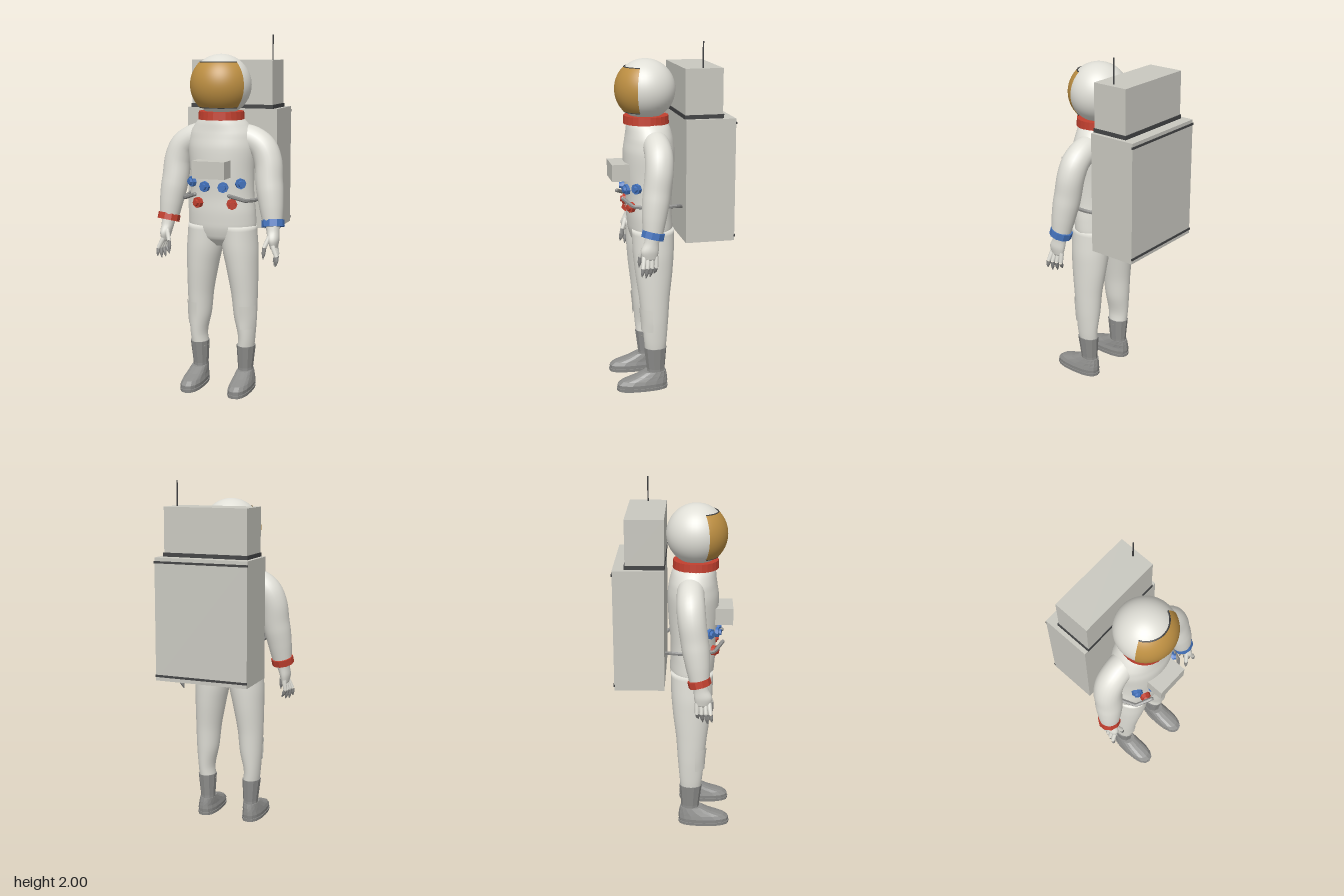
import * as THREE from 'three';
import { mergeVertices } from 'three/addons/utils/BufferGeometryUtils.js';

const material = (name, color, extra = {}) => {
  const m = new THREE.MeshStandardMaterial({ color, ...extra });
  m.name = name;
  return m;
};

// Horizontal elliptical sections [x, y, z, rx, rz], listed bottom to top.
// steps > 1 smooths between sections; an arc below a full turn is left open.
function loft(sections, { sides = 28, steps = 5, power = 1, start = 0, arc = Math.PI * 2 } = {}) {
  const centres = new THREE.CatmullRomCurve3(sections.map(s => new THREE.Vector3(s[0], s[1], s[2])));
  const radii = new THREE.CatmullRomCurve3(sections.map(s => new THREE.Vector3(s[3], 0, s[4])));
  const rows = (sections.length - 1) * steps, closed = arc > 6.28;
  const pos = [], idx = [], w = sides + 1;
  const bend = v => Math.sign(v) * Math.abs(v) ** power;
  for (let i = 0; i <= rows; i++) {
    const c = centres.getPoint(i / rows), r = radii.getPoint(i / rows);
    for (let j = 0; j <= sides; j++) {
      const a = start + arc * (closed ? j % sides : j) / sides;
      pos.push(c.x + r.x * bend(Math.sin(a)), c.y, c.z + r.z * bend(Math.cos(a)));
    }
  }
  for (let i = 0; i < rows; i++) for (let j = 0; j < sides; j++) {
    const a = i * w + j, b = a + 1, c = a + w, d = c + 1;
    idx.push(a, b, d, a, d, c);
  }
  if (closed) {
    const first = sections[0], last = sections.at(-1), n = pos.length / 3;
    pos.push(first[0], first[1], first[2], last[0], last[1], last[2]);
    for (let j = 0; j < sides; j++) {
      idx.push(n, j + 1, j, n + 1, rows * w + j, rows * w + j + 1);
    }
  }
  let g = new THREE.BufferGeometry();
  g.setAttribute('position', new THREE.Float32BufferAttribute(pos, 3));
  g.setIndex(idx);
  g = mergeVertices(g, 1e-5);
  g.computeVertexNormals();
  return g;
}

// Tube through points, its radius eased between the given values
function taper(points, radii, segs = 24, sides = 20) {
  const curve = new THREE.CatmullRomCurve3(points.map(p => new THREE.Vector3(...p)));
  let g = new THREE.TubeGeometry(curve, segs, 1, sides);
  const p = g.attributes.position, v = new THREE.Vector3();
  const rad = new THREE.CatmullRomCurve3(radii.map(r => new THREE.Vector3(r, 0, 0)));
  for (let i = 0; i <= segs; i++) {
    const c = curve.getPointAt(i / segs), r = rad.getPoint(i / segs).x;
    for (let j = 0; j <= sides; j++) {
      const k = i * (sides + 1) + j;
      v.fromBufferAttribute(p, k).sub(c).multiplyScalar(r).add(c);
      p.setXYZ(k, v.x, v.y, v.z);
    }
  }
  g.deleteAttribute('uv');
  g.deleteAttribute('normal');
  g = mergeVertices(g, 1e-5);
  g.computeVertexNormals();
  return g;
}

export function createModel() {
  const suit = material('suit white', 0xe0dfd7);
  const patch = material('patch white', 0xdcdbd3, { side: THREE.DoubleSide });
  const pack = material('pack grey', 0xc9c8c0);
  const boot = material('boot grey', 0x8e8e8c, { flatShading: true });
  const dark = material('dark trim', 0x434445);
  const gold = material('visor gold', 0xbd8f42, { side: THREE.DoubleSide });
  const red = material('red', 0xc2402f, { flatShading: true });
  const blue = material('blue', 0x4473bd, { flatShading: true });

  const model = new THREE.Group();
  model.name = 'astronaut';
  const add = (name, geo, mat, x = 0, y = 0, z = 0, parent = model) => {
    const m = new THREE.Mesh(geo, mat);
    m.name = name;
    m.position.set(x, y, z);
    parent.add(m);
    return m;
  };
  const box = (name, mat, w, y0, y1, z0, z1) =>
    add(name, new THREE.BoxGeometry(w, y1 - y0, z1 - z0), mat, 0, (y0 + y1) / 2, (z0 + z1) / 2);

  // Torso and hips
  add('torso', loft([
    [0, 0.83, 0.1, 0.07, 0.06], [0, 0.88, 0.1, 0.165, 0.11], [0, 0.95, 0.102, 0.198, 0.127],
    [0, 1.03, 0.107, 0.195, 0.128], [0, 1.12, 0.107, 0.185, 0.129], [0, 1.25, 0.107, 0.185, 0.14],
    [0, 1.38, 0.106, 0.195, 0.144], [0, 1.46, 0.105, 0.185, 0.134], [0, 1.52, 0.11, 0.148, 0.122],
    [0, 1.56, 0.12, 0.11, 0.105]], { sides: 36 }), suit);

  // Helmet, visor and neck ring
  const hy = 1.728, hz = 0.123;
  add('helmet', new THREE.SphereGeometry(0.168, 40, 28), suit, 0, hy, hz);
  const half = 1.15, top = 0.76, bottom = 2.36;
  add('visor', new THREE.SphereGeometry(0.172, 32, 20, Math.PI / 2 - half, half * 2, top, bottom - top),
    gold, 0, hy, hz);
  for (const t of [top, bottom]) {
    const rim = add('visorRim', new THREE.TorusGeometry(0.17 * Math.sin(t), 0.004, 6, 32, half * 2),
      dark, 0, hy + 0.17 * Math.cos(t), hz);
    rim.rotation.set(Math.PI / 2, 0, Math.PI / 2 - half);
  }
  add('neckRing', new THREE.CylinderGeometry(0.126, 0.129, 0.045, 24), red, 0, 1.562, 0.12);

  // Life support pack with trim and antenna
  box('backpack', pack, 0.54, 0.905, 1.59, -0.325, -0.048);
  box('upperPack', pack, 0.484, 1.61, 1.86, -0.258, -0.048);
  box('upperPackTrim', dark, 0.494, 1.59, 1.612, -0.263, -0.045);
  for (const y of [0.932, 1.565]) box('packTrim', dark, 0.544, y - 0.006, y + 0.006, -0.33, -0.322);
  add('antenna', new THREE.CylinderGeometry(0.004, 0.004, 0.15, 8), dark, 0.21, 1.925, -0.153);

  // Chest control box
  box('chestBox', pack, 0.187, 1.23, 1.325, 0.23, 0.33);

  for (const s of [1, -1]) {
    const side = new THREE.Group();
    side.name = s > 0 ? 'leftSide' : 'rightSide';
    model.add(side);
    const put = (name, geo, mat, x, y, z) => add(name, geo, mat, x, y, z, side);
    const flip = list => list.map(([x, ...rest]) => [x * s, ...rest]);

    // Leg
    put('leg', loft(flip([
      [0.138, 0.22, 0.1, 0.047, 0.058], [0.146, 0.3, 0.101, 0.048, 0.066], [0.138, 0.42, 0.101, 0.065, 0.077],
      [0.133, 0.55, 0.103, 0.074, 0.088], [0.12, 0.7, 0.103, 0.089, 0.107], [0.106, 0.83, 0.103, 0.101, 0.118],
      [0.1, 0.95, 0.103, 0.097, 0.12]])), suit);
    // Knee patch, wrapped round the front and outside
    put('kneePatch', loft(flip([
      [0.14, 0.36, 0.101, 0.064, 0.08], [0.138, 0.42, 0.101, 0.071, 0.083], [0.135, 0.495, 0.102, 0.075, 0.09]]),
      { sides: 10, arc: 1.4, start: s > 0 ? -0.12 : -1.28 }), patch);

    // Boot: shaft, foot and sole
    put('bootShaft', loft(flip([
      [0.138, 0.06, 0.096, 0.042, 0.055], [0.138, 0.12, 0.097, 0.043, 0.053], [0.142, 0.25, 0.1, 0.054, 0.066]]),
      { sides: 10, steps: 1 }), boot);
    put('bootFoot', loft(flip([
      [0.143, 0.018, 0.178, 0.058, 0.146], [0.143, 0.038, 0.177, 0.06, 0.148], [0.143, 0.058, 0.165, 0.055, 0.135],
      [0.141, 0.08, 0.13, 0.05, 0.097], [0.139, 0.105, 0.104, 0.044, 0.066]]),
      { sides: 16, steps: 1, power: 0.8 }), boot);
    put('bootSole', loft(flip([[0.143, 0, 0.178, 0.06, 0.149], [0.143, 0.018, 0.178, 0.062, 0.151]]),
      { sides: 16, steps: 1, power: 0.8 }), boot);

    // Arm and wrist band
    put('arm', taper(flip([
      [0.09, 1.445, 0.095], [0.17, 1.43, 0.093], [0.235, 1.385, 0.095], [0.268, 1.31, 0.102],
      [0.28, 1.2, 0.117], [0.297, 1.08, 0.134], [0.311, 0.965, 0.147]]),
      [0.075, 0.076, 0.078, 0.077, 0.076, 0.067, 0.053], 36, 24), suit);
    const band = put('wristBand', new THREE.CylinderGeometry(0.064, 0.064, 0.038, 10),
      s > 0 ? blue : red, s * 0.312, 0.975, 0.145);
    band.rotation.set(-0.25, 0, s * 0.12);

    // Glove with bent fingers and grey fingertips
    put('palm', loft(flip([
      [0.325, 0.84, 0.165, 0.018, 0.038], [0.322, 0.89, 0.166, 0.031, 0.05],
      [0.315, 0.935, 0.154, 0.036, 0.042], [0.31, 0.975, 0.145, 0.042, 0.042]]), { sides: 16 }), suit);
    const digits = [0, 1, 2, 3].map(i => {
      const z = 0.133 + i * 0.022, k = Math.abs(i - 1.6) * 0.014;
      return [[0.325, 0.86, z], [0.335 + i * 0.006, 0.8, z + 0.003 * i], [0.312 + i * 0.014, 0.735 + k, z + 0.008 + 0.003 * i]];
    });
    digits.push([[0.307, 0.91, 0.19], [0.284, 0.85, 0.212], [0.278, 0.785, 0.218]]);
    for (const [a, b, c] of digits) {
      put('finger', taper(flip([a, b]), [0.014, 0.012], 4, 8), suit);
      put('fingertip', taper(flip([b, c]), [0.012, 0.011, 0.002], 6, 8), boot);
    }

    // Hose connectors, set square to the chest surface
    for (const [name, mat, x, y] of [['outerConnector', blue, 0.137, 1.195],
      ['innerConnector', blue, 0.052, 1.175], ['lowerConnector', red, 0.097, 1.082]]) {
      const rx = 0.185, rz = 0.132, dz = rz * Math.sqrt(1 - (x / rx) ** 2);
      const c = new THREE.Group();
      c.name = name;
      c.position.set(s * x, y, 0.107 + dz);
      c.rotation.y = s * Math.atan2(x / rx ** 2, dz / rz ** 2);
      side.add(c);
      add('collar', new THREE.CylinderGeometry(0.03, 0.03, 0.03, 8), mat, 0, 0, 0.004, c).rotation.x = Math.PI / 2;
      add('plug', new THREE.CylinderGeometry(0.017, 0.02, 0.018, 8), mat, 0, 0, 0.024, c).rotation.x = Math.PI / 2;
    }

    // Hose from the chest round the waist to the pack
    const hose = new THREE.CurvePath();
    const pts = flip([[0.1, 1.135, 0.273], [0.18, 1.105, 0.228], [0.21, 1.1, 0.15], [0.222, 1.105, 0.035],
      [0.212, 1.105, -0.012], [0.17, 1.09, -0.055]]).map(p => new THREE.Vector3(...p));
    for (let i = 1; i < pts.length; i++) hose.add(new THREE.LineCurve3(pts[i - 1], pts[i]));
    put('hose', new THREE.TubeGeometry(hose, 24, 0.011, 6), boot);
    for (const p of [pts[0], pts.at(-1)]) {
      put('hoseEnd', new THREE.SphereGeometry(0.011, 8, 6), boot, p.x, p.y, p.z);
    }
  }
  return model;
}
